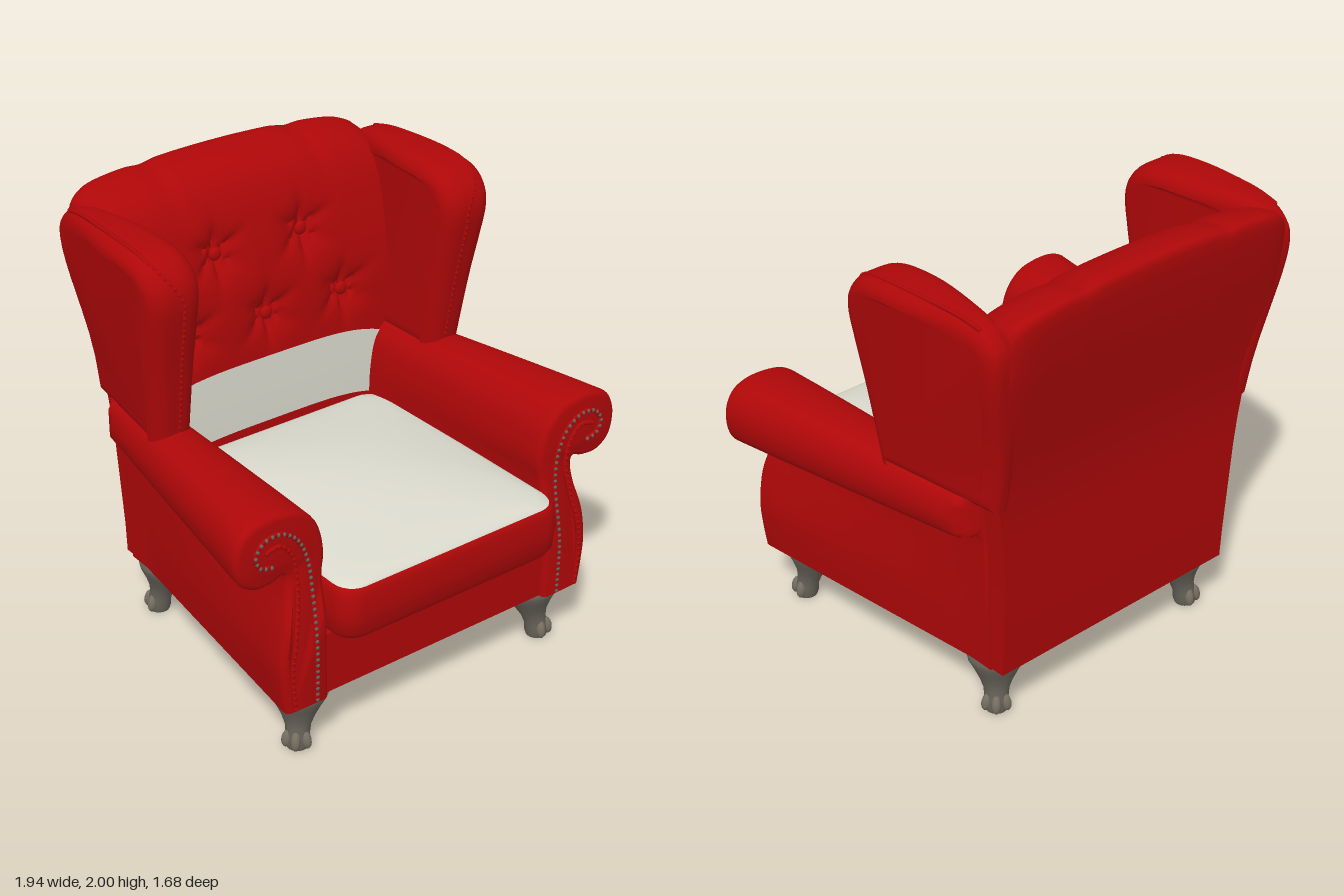
import * as THREE from 'three';
import { mergeGeometries, mergeVertices, toCreasedNormals } from 'three/addons/utils/BufferGeometryUtils.js';

const V = (x, y, z) => new THREE.Vector3(x, y, z);
const V2 = (x, y) => new THREE.Vector2(x, y);
const { lerp, smoothstep } = THREE.MathUtils;
const material = (name, color) => Object.assign(new THREE.MeshStandardMaterial({ color }), { name });
const spline = (pts, n) => new THREE.SplineCurve(pts.map(p => V2(p[0], p[1]))).getPoints(n);

// Closed solid through a list of equal rings; caps are triangulated in plane (a, b).
function loft(rings, a, b, crease = 0.7) {
  const n = rings[0].length, last = rings.length - 1, pts = rings.flat(), idx = [];
  for (let i = 0; i < last; i++) for (let j = 0; j < n; j++) {
    const p = i * n + j, q = i * n + (j + 1) % n;
    idx.push(p, q, q + n, p, q + n, p + n);
  }
  for (const i of [0, last]) {
    const flat = rings[i].map(p => V2(p[a], p[b]));
    const sign = Math.sign(THREE.ShapeUtils.area(flat));
    for (const t of THREE.ShapeUtils.triangulateShape(flat.slice(), [])) {
      const same = Math.sign(THREE.ShapeUtils.area(t.map(k => flat[k]))) === sign;
      const [p, q, r] = t.map(k => k + i * n);
      if (same === (i === 0)) idx.push(p, r, q); else idx.push(p, q, r);
    }
  }
  // turn the faces outwards
  let volume = 0;
  const c = V(0, 0, 0);
  for (let k = 0; k < idx.length; k += 3)
    volume += pts[idx[k]].dot(c.crossVectors(pts[idx[k + 1]], pts[idx[k + 2]]));
  if (volume < 0) idx.reverse();
  const g = new THREE.BufferGeometry().setFromPoints(pts);
  g.setIndex(idx);
  return toCreasedNormals(g, crease);
}

function mirrored(geo) {
  const g = (geo.index ? geo.toNonIndexed() : geo.clone()).scale(-1, 1, 1);
  for (const key of ['position', 'normal']) {
    const arr = g.attributes[key].array;
    for (let i = 0; i < arr.length; i += 9) for (let k = 3; k < 6; k++)
      [arr[i + k], arr[i + k + 3]] = [arr[i + k + 3], arr[i + k]];
  }
  return g;
}

// Rounded rectangle ring on the ground plane
function roundRect(hx, z0, z1, r, y) {
  const ring = [];
  for (const [cx, cz, start] of [[hx - r, z1 - r, 0], [r - hx, z1 - r, 1], [r - hx, z0 + r, 2], [hx - r, z0 + r, 3]])
    for (let k = 0; k <= 6; k++) {
      const t = (start + k / 6) * Math.PI / 2;
      ring.push(V(cx + r * Math.cos(t), y, cz + r * Math.sin(t)));
    }
  return ring;
}

export function createModel() {
  const group = new THREE.Group();
  group.name = 'armchair';
  const red = material('red leather', 0xae0708);
  const cream = material('cream fabric', 0xdad9cc);
  const wood = material('grey wood', 0x67635a);
  const claw = material('claw wood', 0x766f61);

  const add = (name, geo, mat) => {
    const m = new THREE.Mesh(geo, mat);
    m.name = name;
    group.add(m);
  };
  const pair = (name, geo, mat) => {
    add('left' + name, geo, mat);
    add('right' + name, mirrored(geo), mat);
  };
  // Piping with a row of small studs
  const beading = (name, points, studMat) => {
    const curve = new THREE.CatmullRomCurve3(points);
    pair(name + 'Piping', new THREE.TubeGeometry(curve, 60, 0.01, 6), red);
    const count = Math.round(curve.getLength() / 0.028);
    pair(name + 'Studs', mergeGeometries(curve.getSpacedPoints(count).map(p =>
      new THREE.SphereGeometry(0.009, 6, 4).translate(p.x, p.y, p.z + 0.006))), studMat);
  };

  // Base frame, narrower at the back
  const base = new THREE.BoxGeometry(1.5, 0.28, 1.36).translate(0, 0.41, 0.03);
  const bp = base.attributes.position;
  for (let i = 0; i < bp.count; i++) if (bp.getZ(i) < 0) bp.setX(i, bp.getX(i) * 0.83);
  base.computeVertexNormals();
  add('base', base, red);

  // Arms: the scrolled outline runs back, shrinks and dies into the back
  const frontOutline = spline([[0.57, 0.27], [0.572, 0.55], [0.565, 0.8], [0.55, 0.92], [0.58, 1.05], [0.65, 1.13],
    [0.74, 1.16], [0.85, 1.16], [0.93, 1.12], [0.968, 1.03], [0.95, 0.92], [0.88, 0.866], [0.8, 0.866],
    [0.742, 0.88], [0.745, 0.78], [0.775, 0.65], [0.797, 0.5], [0.79, 0.38], [0.775, 0.27]], 90);
  const backOutline = spline([[0.5, 0.27], [0.5, 0.55], [0.51, 0.8], [0.52, 0.92], [0.54, 1.02], [0.57, 1.08],
    [0.62, 1.115], [0.69, 1.115], [0.75, 1.085], [0.775, 1.01], [0.76, 0.935], [0.72, 0.9], [0.68, 0.9],
    [0.665, 0.9], [0.66, 0.78], [0.655, 0.65], [0.65, 0.5], [0.645, 0.38], [0.64, 0.27]], 90);
  const faceZ = y => 0.74 - 0.05 * smoothstep(y, 0.6, 0.88);
  // outline drawn in by d, for the rounded front edge
  const inset = d => frontOutline.map((p, j, all) => {
    const dir = all[Math.min(j + 1, 90)].clone().sub(all[Math.max(j - 1, 0)]).normalize();
    return V2(p.x + dir.y * d, p.y - dir.x * d);
  });
  const armRings = [[0.022, 0], [0.008, 0.007], [0.002, 0.016]].map(([d, dz]) =>
    inset(d).map(p => V(p.x, p.y, faceZ(p.y) - dz)));
  for (let i = 0; i <= 12; i++) {
    const t = i / 12;
    armRings.push(frontOutline.map((p, j) => {
      const q = backOutline[j];
      return V(lerp(p.x, q.x, t), lerp(p.y, q.y, t ** 1.3), lerp(faceZ(p.y) - 0.028, -0.48, t));
    }));
  }
  for (const [z, limit, lift] of [[-0.53, 0.758, 0.012], [-0.565, 0.725, 0.03], [-0.585, 0.69, 0.055], [-0.595, 0.65, 0.08]])
    armRings.push(backOutline.map(p => V(Math.min(p.x, limit), p.x > 0.67 && p.y < 1 ? Math.min(1, p.y + lift) : p.y, z)));
  pair('Arm', loft(armRings, 'x', 'y'), red);

  // Beaded scrolls on the arm fronts
  const onFace = ([x, y]) => V(x, y, faceZ(y) + 0.001);
  beading('ArmInner', [[0.635, 0.29], [0.635, 0.55], [0.63, 0.8], [0.645, 0.93], [0.69, 1.03], [0.76, 1.08],
    [0.84, 1.075], [0.882, 1.02], [0.86, 0.965], [0.81, 0.95]].map(onFace), wood);
  beading('ArmOuter', [[0.74, 0.29], [0.752, 0.45], [0.735, 0.6], [0.705, 0.75], [0.695, 0.88], [0.72, 0.98],
    [0.77, 1.03], [0.83, 1.02]].map(onFace), red);

  // Backrest: a padded profile swept across, buttoned on the front
  const buttons = [[-0.22, 1.64], [0.22, 1.64], [-0.4, 1.325], [0, 1.325], [0.4, 1.325]];
  const front = spline([[-0.4, 0.75], [-0.405, 0.95], [-0.415, 1.15], [-0.43, 1.4], [-0.475, 1.65], [-0.525, 1.82],
    [-0.595, 1.93], [-0.69, 1.982], [-0.78, 2]], 80);
  const rear = spline([[-0.81, 1.998], [-0.84, 1.965], [-0.815, 1.75], [-0.755, 1.45], [-0.69, 1.09], [-0.67, 0.6],
    [-0.655, 0.27]], 24);
  const profile = [...front, ...rear, V2(-0.42, 0.27)];
  const tuft = (x, y) => buttons.reduce((d, [bx, by]) => {
    const r = Math.hypot(x - bx, y - by), a = Math.atan2(x - bx, y - by);
    return d + 0.045 * Math.exp(-r * r / 0.007) + 0.028 * Math.exp(-r * r / 0.014) * Math.cos(3 * a) ** 6 * Math.min(1, r / 0.05);
  }, 0);
  const backZ = y => {
    const i = Math.max(1, front.findIndex(p => p.y >= y)), p = front[i - 1], q = front[i];
    return lerp(p.x, q.x, (y - p.y) / (q.y - p.y));
  };
  const backRings = [];
  for (let i = 0; i <= 90; i++) {
    const u = i / 45 - 1;
    backRings.push(profile.map((p, j) => {
      const x = u * lerp(0.63, 0.725, smoothstep(p.y, 0.4, 1.95));
      const upper = smoothstep(p.y, 1.4, 2);
      // crown, rounded ends and two shallow dips along the top edge
      const drop = (0.05 * u * u + 0.05 * u ** 16 + 0.01 * Math.exp(-(((Math.abs(x) - 0.37) / 0.05) ** 2))) * upper;
      const z = j < front.length ? p.x - tuft(x, p.y) : p.x + 0.035 * u ** 12 * upper;
      return V(x, p.y - drop, z);
    }));
  }
  add('backrest', loft(backRings, 'z', 'y', 0.9), red);
  buttons.forEach(([x, y]) => add('backButton', new THREE.SphereGeometry(0.03, 16, 10).scale(1, 1, 0.6)
    .translate(x, y, backZ(y) - 0.035), red));

  // Cream panel low on the backrest
  const panel = new THREE.PlaneGeometry(2, 1, 24, 12);
  const pp = panel.attributes.position;
  for (let i = 0; i < pp.count; i++) {
    const u = pp.getX(i), y = lerp(0.84 - 0.06 * u ** 4, 1.145 - 0.06 * u ** 4, pp.getY(i) + 0.5);
    pp.setXYZ(i, u * 0.59, y, backZ(y) + 0.006);
  }
  panel.computeVertexNormals();
  add('lowerBackPanel', panel, cream);

  // Seat cushion: red band below, domed cream top
  const band = [[0.55, 0.05], [0.56, 0.02], [0.59, 0.004], [0.67, 0], [0.76, 0.004], [0.785, 0.012], [0.795, 0.025]];
  add('seatCushion', loft(band.map(([y, d]) => roundRect(0.565 - d, -0.41 + d, 0.838 - d, 0.09, y)), 'x', 'z'), red);
  const dome = [[0.785, 1], [0.797, 0.99]];
  for (let s = 0.95; s > 0.04; s -= 0.1) dome.push([0.8 + 0.09 * (1 - s * s), s]);
  add('seatTop', loft(dome.map(([y, s]) =>
    roundRect(0.548 * s, 0.21 - 0.615 * s, 0.21 + 0.612 * s, s * lerp(0.5, 0.085, s ** 3), y)), 'x', 'z'), cream);

  // Wings: a rounded slab that leans out upwards and thins towards the back
  const wingX = (c, y, z) => {
    const t = smoothstep(-z, 0.25, 0.8);
    return 0.61 + 0.07 * t * smoothstep(y, 1.2, 1.8) + c * (1 + 0.45 * (y - 1.15)) * (1 - 0.5 * t);
  };
  const edge = spline([[-0.1, 1.08], [-0.09, 1.16], [-0.05, 1.42], [-0.01, 1.62], [0.01, 1.75], [-0.01, 1.84],
    [-0.08, 1.91], [-0.2, 1.94], [-0.45, 1.945], [-0.66, 1.93], [-0.76, 1.88], [-0.8, 1.78], [-0.765, 1.5], [-0.69, 1.08]], 60);
  let wing = new THREE.ExtrudeGeometry(new THREE.Shape(edge.map(p => V2(-p.x, p.y))), {
    depth: 0.05, bevelThickness: 0.07, bevelSize: 0.07, bevelOffset: -0.07, bevelSegments: 7, steps: 1,
  }).translate(0, 0, 0.07).rotateY(Math.PI / 2);
  const wp = wing.attributes.position;
  for (let i = 0; i < wp.count; i++) wp.setX(i, wingX(wp.getX(i), wp.getY(i), wp.getZ(i)));
  wing.deleteAttribute('uv');
  wing.deleteAttribute('normal');
  wing = toCreasedNormals(mergeVertices(wing), 0.6);
  pair('Wing', wing, red);
  beading('Wing', edge.slice(4, 44).filter((p, i) => i % 3 === 0).map(p =>
    V(wingX(lerp(0.08, 0.145, smoothstep(p.y, 1.75, 1.94)), p.y, p.x), p.y - 0.006, p.x - 0.006)), red);

  // Legs: flared top, thin ankle, clawed foot turned outwards
  const legRings = [[0.28, 0, 0.11], [0.255, 0, 0.123], [0.235, 0, 0.12], [0.19, 0.006, 0.095], [0.14, 0.015, 0.07],
    [0.1, 0.028, 0.054], [0.06, 0.04, 0.05], [0.02, 0.045, 0.052], [0, 0.045, 0.045]];
  for (const [name, x, z, angle] of [['FrontLeg', 0.615, 0.595, 0.8], ['BackLeg', 0.525, -0.5, 2.4]]) {
    const place = g => g.rotateY(angle).translate(x, 0, z);
    pair(name, place(loft(legRings.map(([y, off, r]) => Array.from({ length: 20 }, (_, k) => {
      const t = k / 10 * Math.PI;
      return V(r * Math.cos(t), y, off + r * Math.sin(t));
    })), 'x', 'z')), wood);
    const toes = [-1.1, 0, 1.1].map(t => new THREE.SphereGeometry(0.025, 10, 8).scale(0.85, 1.7, 1)
      .rotateX(-0.25).translate(0, 0.046, 0.042).rotateY(t).translate(0, 0, 0.045));
    pair(name + 'Claws', place(mergeGeometries(toes)), claw);
  }
  return group;
}
